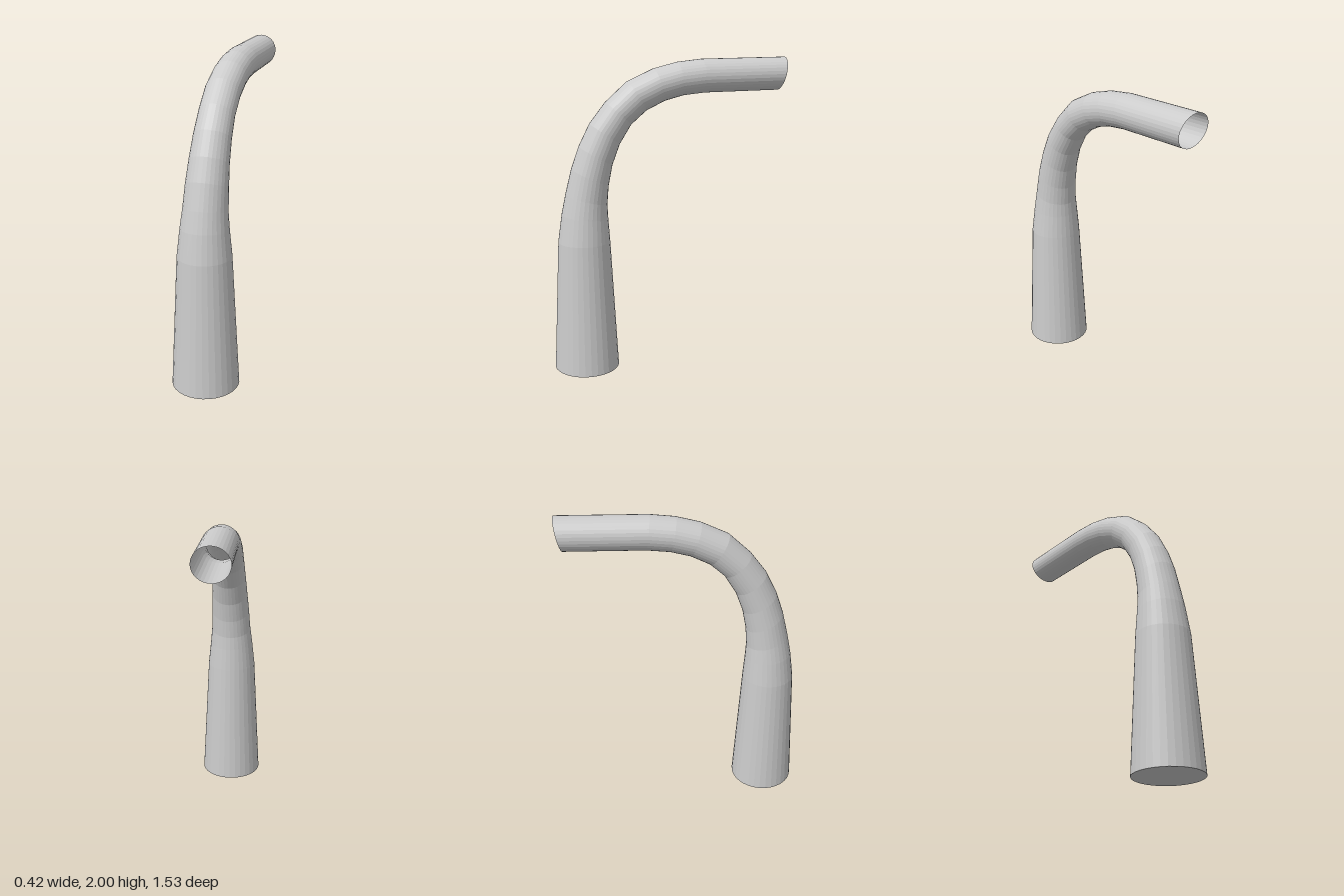
import * as THREE from 'three';

const SIDES = 32;

// Cross-sections along the pipe: outer z, outer y, inner z, inner y, centre x
const SECTIONS = [
  [0.765, 0, 0.345, 0, 0],
  [0.72, 0.85, 0.388, 0.85, 0],
  [0.693, 1.03, 0.398, 1.0, 0],
  [0.665, 1.16, 0.402, 1.09, 0.002],
  [0.625, 1.32, 0.392, 1.21, 0.005],
  [0.575, 1.46, 0.366, 1.34, 0.008],
  [0.505, 1.6, 0.318, 1.47, 0.011],
  [0.405, 1.73, 0.244, 1.59, 0.013],
  [0.268, 1.855, 0.148, 1.675, 0.016],
  [0.1, 1.933, 0.03, 1.733, 0.018],
  [-0.05, 1.972, -0.09, 1.765, 0.019],
  [-0.207, 1.99, -0.23, 1.78, 0.02],
  [-0.765, 2.0, -0.72, 1.79, 0.02],
];

// Skin an ellipse through every section
function loft(sections) {
  const positions = [];
  const index = [];
  sections.forEach(([oz, oy, iz, iy, cx], i) => {
    const dz = (oz - iz) / 2;
    const dy = (oy - iy) / 2;
    const halfWidth = Math.max(Math.hypot(dz, dy), 0.109);
    for (let j = 0; j < SIDES; j++) {
      const a = (j / SIDES) * Math.PI * 2;
      const s = Math.sin(a);
      positions.push(cx + halfWidth * Math.cos(a), (oy + iy) / 2 + dy * s, (oz + iz) / 2 + dz * s);
      if (i === sections.length - 1) continue;
      const p = i * SIDES + j;
      const q = i * SIDES + ((j + 1) % SIDES);
      index.push(p, p + SIDES, q, q, p + SIDES, q + SIDES);
    }
  });
  const geometry = new THREE.BufferGeometry();
  geometry.setAttribute('position', new THREE.Float32BufferAttribute(positions, 3));
  geometry.setIndex(index);
  geometry.computeVertexNormals();
  return geometry;
}

export function createModel() {
  const group = new THREE.Group();
  group.name = 'bentPipe';
  const material = new THREE.MeshStandardMaterial({
    color: 0xcccccc,
    flatShading: true,
    side: THREE.DoubleSide,
  });

  // Tapered, curved tube, open at the oblique spout end
  const pipe = new THREE.Mesh(loft(SECTIONS), material);
  pipe.name = 'pipe';

  // Closed bottom
  const base = new THREE.Mesh(new THREE.CircleGeometry(0.21, SIDES).rotateX(Math.PI / 2), material);
  base.name = 'baseCap';
  base.position.z = 0.555;

  group.add(pipe, base);
  return group;
}
